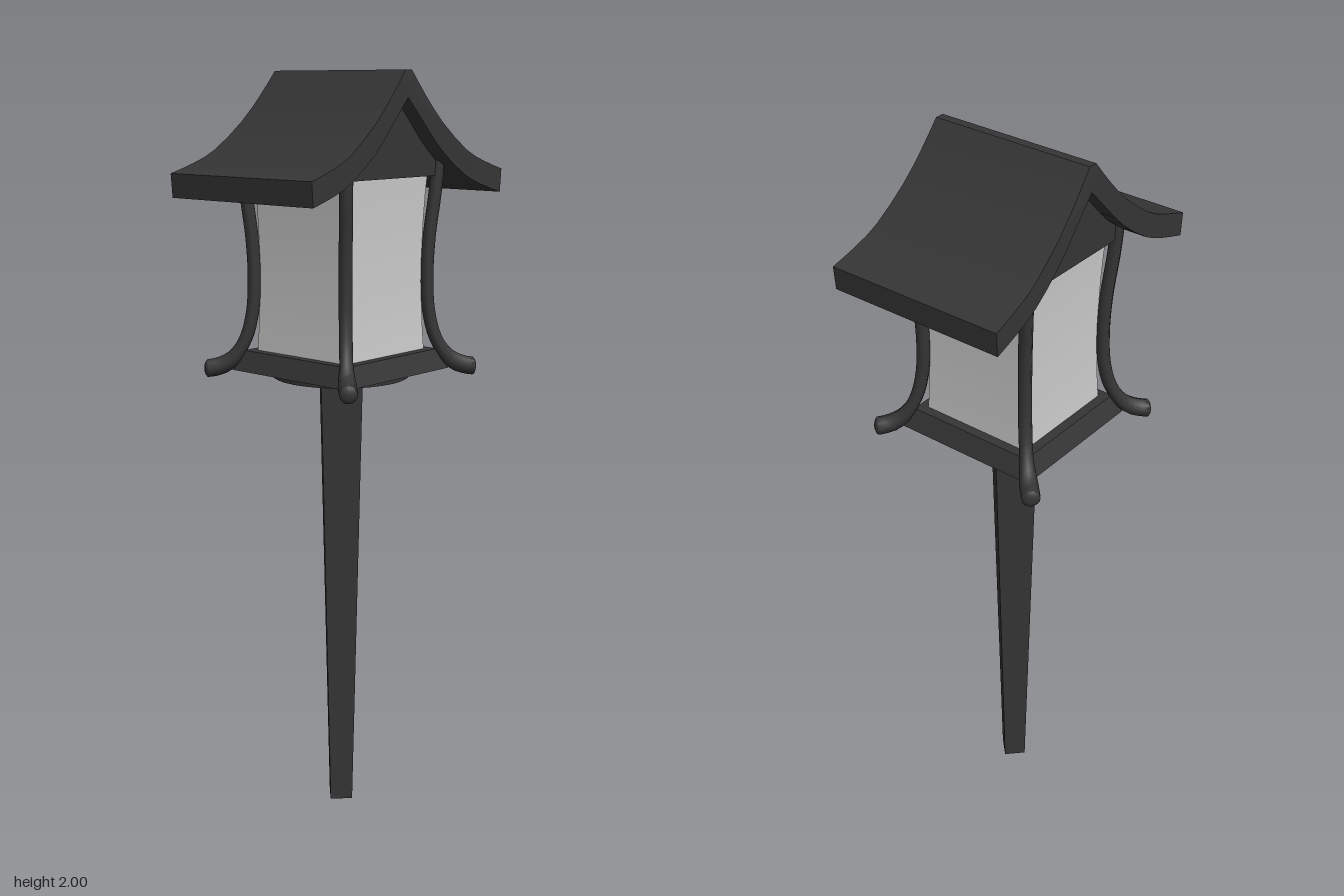
import * as THREE from 'three';
import { toCreasedNormals } from 'three/addons/utils/BufferGeometryUtils.js';

const dark = new THREE.MeshStandardMaterial({ color: 0x353535 });
const pane = new THREE.MeshStandardMaterial({ color: 0xcccccc, side: THREE.DoubleSide });
const v2 = (p) => new THREE.Vector2(p[0], p[1]);

function part(name, geometry, material = dark) {
  const mesh = new THREE.Mesh(geometry, material);
  mesh.name = name;
  return mesh;
}

// Right half of a roof line, sampled smoothly
const sweep = (pts) => new THREE.SplineCurve(pts.map(v2)).getPoints(10);
const mirrored = (pts) => pts.map((p) => new THREE.Vector2(-p.x, p.y)).reverse();

// Extrudes a profile (z, y) along x; halfLength may vary with distance from the ridge
function alongRidge(points, halfLength) {
  const geo = new THREE.ExtrudeGeometry(new THREE.Shape(points), { depth: 2, bevelEnabled: false });
  geo.translate(0, 0, -1);
  const pos = geo.attributes.position;
  for (let i = 0; i < pos.count; i++) pos.setZ(i, pos.getZ(i) * halfLength(Math.abs(pos.getX(i))));
  geo.rotateY(Math.PI / 2);
  return toCreasedNormals(geo, 0.5);
}

// Square frustum with faces along x and z; radii reach the corners
function square(rTop, rBottom, y0, y1) {
  const geo = new THREE.CylinderGeometry(rTop, rBottom, y1 - y0, 4).rotateY(Math.PI / 4);
  return toCreasedNormals(geo.translate(0, (y0 + y1) / 2, 0), 0.3);
}

// Curved corner post in the (radius, y) plane, thickening to a foot
function postGeometry() {
  const path = new THREE.CatmullRomCurve3(
    [[0.25, 1.79], [0.243, 1.7], [0.229, 1.58], [0.225, 1.48], [0.231, 1.39], [0.25, 1.32],
      [0.283, 1.27], [0.315, 1.25], [0.348, 1.243]].map((p) => new THREE.Vector3(p[0], p[1], 0)));
  const n = 32, sides = 8;
  const geo = new THREE.TubeGeometry(path, n, 0.017, sides);
  const pos = geo.attributes.position, v = new THREE.Vector3();
  for (let i = 0; i < pos.count; i++) {
    const t = Math.floor(i / (sides + 1)) / n;
    const c = path.getPointAt(t);
    const s = 1 + 0.4 * THREE.MathUtils.smoothstep(t, 0.8, 0.95);
    v.fromBufferAttribute(pos, i).sub(c).multiplyScalar(s).add(c);
    pos.setXYZ(i, v.x, v.y, v.z);
  }
  return geo;
}

export function createModel() {
  const model = new THREE.Group();
  model.name = 'gardenLantern';
  const lantern = new THREE.Group();
  lantern.name = 'lantern';
  lantern.rotation.y = -THREE.MathUtils.degToRad(40.3);
  model.add(lantern);

  // Curved gable roof, eaves slightly longer than the ridge
  const top = sweep([[0.012, 2.0], [0.065, 1.938], [0.13, 1.873], [0.22, 1.806], [0.29, 1.775], [0.364, 1.752]]);
  const under = sweep([[0, 1.935], [0.06, 1.872], [0.125, 1.807], [0.215, 1.743], [0.285, 1.714], [0.36, 1.692]]);
  const outline = [...under, ...top.slice().reverse(), ...mirrored(top).reverse(), ...mirrored(under).slice(0, -1)];
  lantern.add(part('roof', alongRidge(outline, (d) => 0.22 + 0.055 * d)));

  // Recessed gable filling under the roof
  const gable = [[-0.18, 1.74], [0.18, 1.74], [0.18, 1.79], [0.12, 1.83], [0, 1.955], [-0.12, 1.83], [-0.18, 1.79]];
  lantern.add(part('gable', alongRidge(gable.map(v2), () => 0.18)));

  // Translucent panes: square body with a gently pinched waist
  const glass = new THREE.CylinderGeometry(1, 1, 0.47, 4, 8, true).rotateY(Math.PI / 4).translate(0, 1.515, 0);
  const gp = glass.attributes.position;
  for (let i = 0; i < gp.count; i++) {
    const r = 0.21 + 0.2 * (gp.getY(i) - 1.5) ** 2;
    gp.setX(i, gp.getX(i) * r);
    gp.setZ(i, gp.getZ(i) * r);
  }
  lantern.add(part('panes', toCreasedNormals(glass, 0.5), pane));

  // Corner posts with flared feet
  const post = postGeometry();
  for (let i = 0; i < 4; i++) {
    const corner = new THREE.Group();
    corner.name = 'cornerPost';
    corner.rotation.y = Math.PI / 4 + (i * Math.PI) / 2;
    const tip = part('foot', new THREE.SphereGeometry(0.0238, 10, 8));
    tip.scale.x = 0.5;
    tip.position.set(0.348, 1.243, 0);
    corner.add(part('post', post), tip);
    lantern.add(corner);
  }

  // Base tray and round collar
  lantern.add(part('base', square(0.255, 0.285, 1.238, 1.29)));
  const collar = [[0, 1.24], [0.18, 1.24], [0.18, 1.222], [0.08, 1.2], [0, 1.2]].map(v2).reverse();
  lantern.add(part('collar', toCreasedNormals(new THREE.LatheGeometry(collar, 32), 0.5)));

  // Tapered square stake, turned an eighth against the lantern
  const stake = part('stake', square(0.077, 0.043, 0, 1.205));
  stake.rotation.y = Math.PI / 4;
  lantern.add(stake);

  return model;
}
